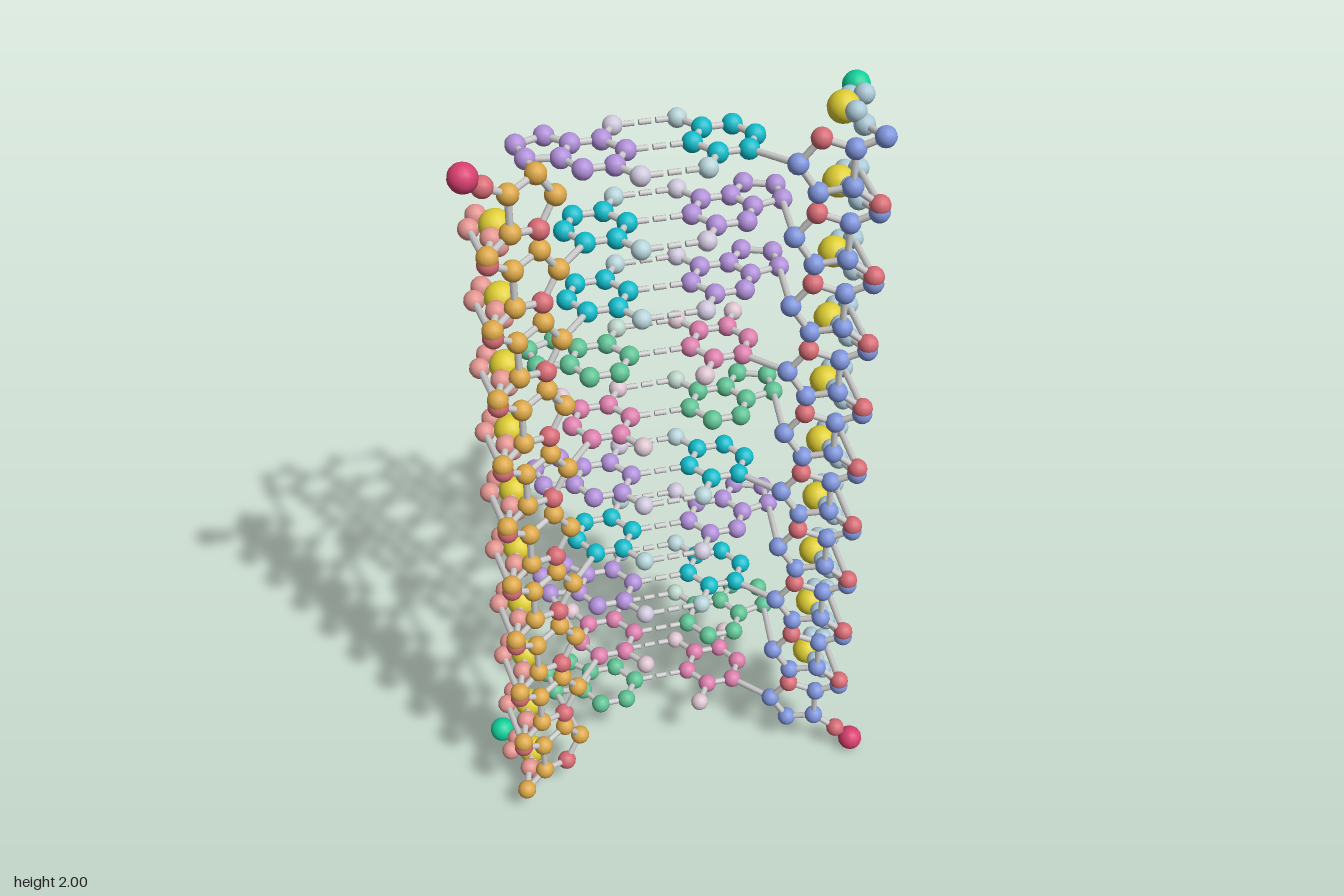
import * as THREE from 'three';

const STEP = 0.188, ATOM = 0.0255, BOND = 0.0085;
const ball = new THREE.SphereGeometry(1, 14, 10);
const rod = new THREE.CylinderGeometry(1, 1, 1, 8, 1, true);
const dashGeo = new THREE.CylinderGeometry(0.0075, 0.0075, 0.03, 8).rotateZ(Math.PI / 2);
const UP = new THREE.Vector3(0, 1, 0);

const materials = {};
function paint(color) {
  return (materials[color] ??= new THREE.MeshStandardMaterial({ color }));
}
const pale = (color) => new THREE.Color(color).lerp(new THREE.Color(0xdde0e0), 0.65).getHex();

function atom(parent, name, p, color, r = ATOM) {
  const m = new THREE.Mesh(ball, paint(color));
  m.name = name;
  m.position.set(...p);
  m.scale.setScalar(r);
  parent.add(m);
}

function bond(parent, a, b) {
  const va = new THREE.Vector3(...a), d = new THREE.Vector3(...b).sub(va);
  const m = new THREE.Mesh(rod, paint(0xcccccc));
  m.name = 'bond';
  m.position.copy(va).addScaledVector(d, 0.5);
  m.scale.set(BOND, d.length(), BOND);
  m.quaternion.setFromUnitVectors(UP, d.normalize());
  parent.add(m);
}

// Base shapes, lying flat on the left of the ladder
const SIX = [[-0.196, -0.145], [-0.121, -0.145], [-0.079, -0.077], [-0.121, -0.01], [-0.196, -0.01], [-0.232, -0.077]];
const FIVE = [[-0.246, -0.2], [-0.319, -0.17], [-0.311, -0.094]];
const BACK = [-0.079, -0.211], FRONT = [-0.079, 0.056], SIDE = [-0.232, -0.211];

// Each tip is [position, index of the ring atom it hangs from]
const BASES = {
  A: { color: 0x5fc294, large: true, tips: [[BACK, 1]] },
  T: { color: 0xdc7fac, large: false, tips: [[BACK, 1], [FRONT, 3], [SIDE, 0]] },
  G: { color: 0xb08fd8, large: true, tips: [[BACK, 1], [FRONT, 3]] },
  C: { color: 0x10bccb, large: false, tips: [[BACK, 1], [FRONT, 3]] },
};
const PARTNER = { A: 'T', T: 'A', G: 'C', C: 'G' };
const SEQUENCE = 'ATGCGTACCG';

// Backbone points of one rung, relative to the rung height
const C1 = [-0.28, 0, 0.092], C2 = [-0.325, 0.068, 0.113], C3 = [-0.394, 0.045, 0.148];
const C4 = [-0.394, -0.05, 0.148], O4 = [-0.325, -0.068, 0.113];
const O3 = [-0.452, 0.085, 0.176], C5 = [-0.452, -0.085, 0.176];
const P = [-0.407, -0.094, 0.024];
const OXYGENS = [[-0.43, -0.082, 0.1], [-0.413, -0.11, 0.087], [-0.465, -0.108, 0], [-0.442, -0.092, -0.031]];

function makeBase({ color, large, tips }) {
  const g = new THREE.Group();
  g.name = 'base';
  const flat = ([x, z]) => [x, 0, z];
  const six = SIX.map(flat), five = large ? FIVE.map(flat) : [];
  [...six, ...five].forEach((p) => atom(g, 'ringAtom', p, color));
  six.forEach((p, i) => bond(g, p, six[(i + 1) % 6]));
  if (large) {
    const chain = [six[0], ...five, six[5]];
    for (let i = 0; i < 4; i++) bond(g, chain[i], chain[i + 1]);
  }
  for (const [p, i] of tips) {
    atom(g, 'tipAtom', flat(p), pale(color), 0.0245);
    bond(g, flat(p), six[i]);
  }
  bond(g, large ? five[2] : six[4], C1);
  return g;
}

function makeBackbone(color, oxygenColor, isFirst, isLast) {
  const g = new THREE.Group();
  g.name = 'backboneUnit';
  const RED = 0xd66b74;
  // Sugar ring and its two arms
  const ring = [C1, C2, C3, C4, O4];
  ring.forEach((p, i) => {
    atom(g, p === O4 ? 'ringOxygen' : 'sugarAtom', p, p === O4 ? RED : color);
    bond(g, p, ring[(i + 1) % 5]);
  });
  atom(g, 'upperArm', O3, RED);
  atom(g, 'lowerArm', C5, color);
  bond(g, C3, O3);
  bond(g, C4, C5);
  // Phosphate
  atom(g, 'phosphorus', P, 0xe0cf33, 0.039);
  for (const o of OXYGENS) {
    atom(g, 'phosphateOxygen', o, oxygenColor);
    bond(g, P, o);
  }
  bond(g, C5, OXYGENS[0]);
  // Link to the next unit, or the end caps of the strand
  if (isLast) {
    const end = [-0.493, 0.12, 0.194];
    atom(g, 'endCap', end, 0xd83f70, 0.034);
    bond(g, O3, end);
  } else {
    const [x, y, z] = OXYGENS[2];
    bond(g, O3, [x, y + STEP, z]);
  }
  if (isFirst) {
    const start = [-0.475, -0.096, -0.077];
    atom(g, 'startCap', start, 0x10d09a, 0.034);
    bond(g, OXYGENS[3], start);
  }
  return g;
}

export function createModel() {
  const model = new THREE.Group();
  model.name = 'baseLadder';
  const n = SEQUENCE.length;
  const rightStrand = new THREE.Group(), leftStrand = new THREE.Group(), links = new THREE.Group();
  rightStrand.name = 'rightStrand';
  leftStrand.name = 'leftStrand';
  links.name = 'dashedLinks';

  [...SEQUENCE].forEach((letter, i) => {
    const y = 1 + (i - (n - 1) / 2) * STEP;
    // Strand on -x runs upward
    const a = new THREE.Group();
    a.name = 'rungHalf';
    a.add(makeBase(BASES[letter]), makeBackbone(0xdba748, 0xe39590, i === 0, i === n - 1));
    a.position.y = y;
    rightStrand.add(a);
    // Partner strand is the same, turned upside down
    const b = new THREE.Group();
    b.name = 'rungHalf';
    b.add(makeBase(BASES[PARTNER[letter]]), makeBackbone(0x7f95dc, 0xabc8d6, i === n - 1, i === 0));
    b.position.y = y;
    b.rotation.z = Math.PI;
    leftStrand.add(b);
    // Dashed links: three or two per pair
    const rows = 'GC'.includes(letter) ? [-0.211, -0.077, 0.056] : [-0.211, -0.077];
    for (const z of rows) {
      for (const x of [-0.042, 0, 0.042]) {
        const dash = new THREE.Mesh(dashGeo, paint(0xcccccc));
        dash.name = 'dash';
        dash.position.set(x, y, z);
        links.add(dash);
      }
    }
  });

  model.add(rightStrand, leftStrand, links);
  return model;
}
